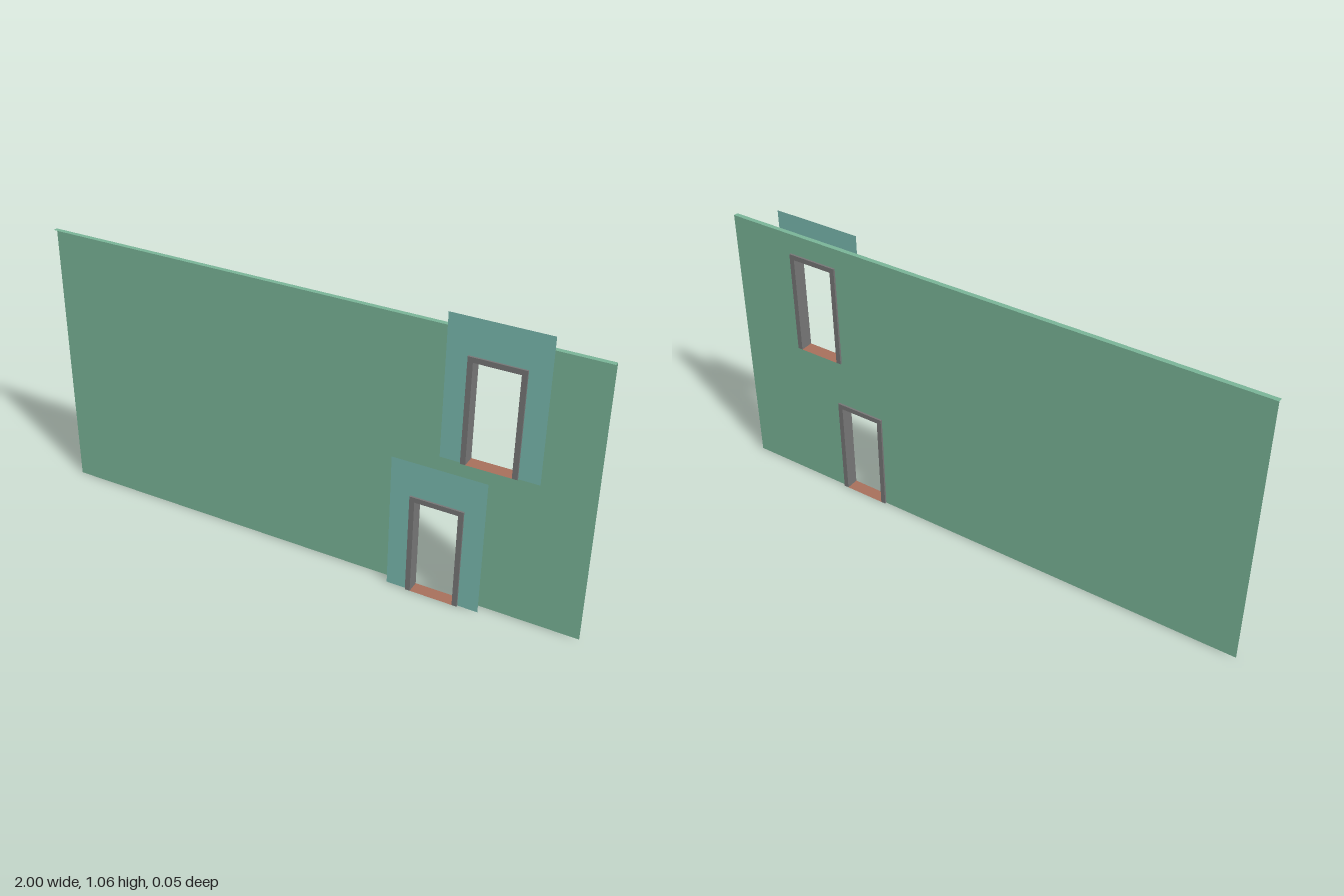
import * as THREE from 'three';

const mat = (color) => new THREE.MeshStandardMaterial({ color, side: THREE.DoubleSide });
const HALF = 0.017;      // half depth between the wall sheet and the front panels
const FACE = 0.024;      // outer face of the door casings
const DOOR_W = 0.19, DOOR_H = 0.378, TRIM = 0.018;

const doors = [
  { name: 'lowerDoor', x: 0.495, y: 0, reveal: true },
  { name: 'upperDoor', x: 0.66, y: 0.556, reveal: false },
];

// Closed outline from a list of [x, y] points
const outline = (pts) => pts.map(([x, y]) => new THREE.Vector2(x, y));
const rect = (x0, y0, x1, y1) => outline([[x0, y0], [x1, y0], [x1, y1], [x0, y1]]);

// Upside-down U (door surround) standing on y = 0
function surround(w, h, side, top) {
  const o = w / 2, i = o - side;
  return new THREE.Shape(outline([
    [-o, 0], [-i, 0], [-i, h - top], [i, h - top], [i, 0], [o, 0], [o, h], [-o, h],
  ]));
}

export function createModel() {
  const root = new THREE.Group();
  const wallMat = mat(0x7ab598), panelMat = mat(0x7abab0);
  const frameMat = mat(0x777777), sillMat = mat(0xa8705c);

  const add = (parent, name, geometry, material, x = 0, y = 0, z = 0) => {
    const mesh = new THREE.Mesh(geometry, material);
    mesh.name = name;
    mesh.position.set(x, y, z);
    parent.add(mesh);
    return mesh;
  };

  // Open three-sided sleeve running through the wall
  const sleeve = (parent, name, w, h, depth, material) => {
    const g = new THREE.Group();
    g.name = name;
    for (const s of [-1, 1]) {
      const side = new THREE.PlaneGeometry(depth, h).rotateY(s * Math.PI / 2);
      add(g, name + 'Side', side, material, s * w / 2, h / 2, 0);
    }
    add(g, name + 'Top', new THREE.PlaneGeometry(w, depth).rotateX(-Math.PI / 2), material, 0, h, 0);
    parent.add(g);
  };

  // Wall sheet, notched at the floor for one door and pierced for the other
  const lo = doors[0], up = doors[1], r = DOOR_W / 2;
  const wall = new THREE.Shape(outline([
    [-1, 0], [lo.x - r, 0], [lo.x - r, DOOR_H], [lo.x + r, DOOR_H], [lo.x + r, 0],
    [1, 0], [1, 1.008], [-1, 1.008],
  ]));
  wall.holes.push(new THREE.Path(rect(up.x - r, up.y, up.x + r, up.y + DOOR_H)));
  add(root, 'wall', new THREE.ShapeGeometry(wall), wallMat, 0, 0, -HALF);

  // Narrow ledge along the top edge of the wall
  add(root, 'wallTop', new THREE.PlaneGeometry(2, HALF).rotateX(-Math.PI / 2), wallMat, 0, 1.008, -HALF / 2);

  for (const d of doors) {
    const door = new THREE.Group();
    door.name = d.name;
    door.position.set(d.x, d.y, 0);
    root.add(door);

    // Front panel around the opening
    const panel = surround(0.334, 0.505, (0.334 - DOOR_W) / 2, 0.505 - DOOR_H);
    add(door, 'panel', new THREE.ShapeGeometry(panel), panelMat, 0, 0, HALF);

    // Casings on both faces
    const casing = new THREE.ExtrudeGeometry(surround(DOOR_W, DOOR_H, TRIM, TRIM),
      { depth: FACE - HALF, bevelEnabled: false });
    add(door, 'frontCasing', casing, frameMat, 0, 0, HALF);
    add(door, 'backCasing', casing, frameMat, 0, 0, -FACE);

    // Inner lining, and the wall reveal where there is one
    sleeve(door, 'lining', DOOR_W - 2 * TRIM, DOOR_H - TRIM, 2 * HALF, frameMat);
    if (d.reveal) sleeve(door, 'reveal', DOOR_W, DOOR_H, 2 * HALF, wallMat);

    // Flat threshold
    const sill = new THREE.PlaneGeometry(DOOR_W - 2 * TRIM, 2 * FACE).rotateX(-Math.PI / 2);
    add(door, 'threshold', sill, sillMat);
  }
  return root;
}
